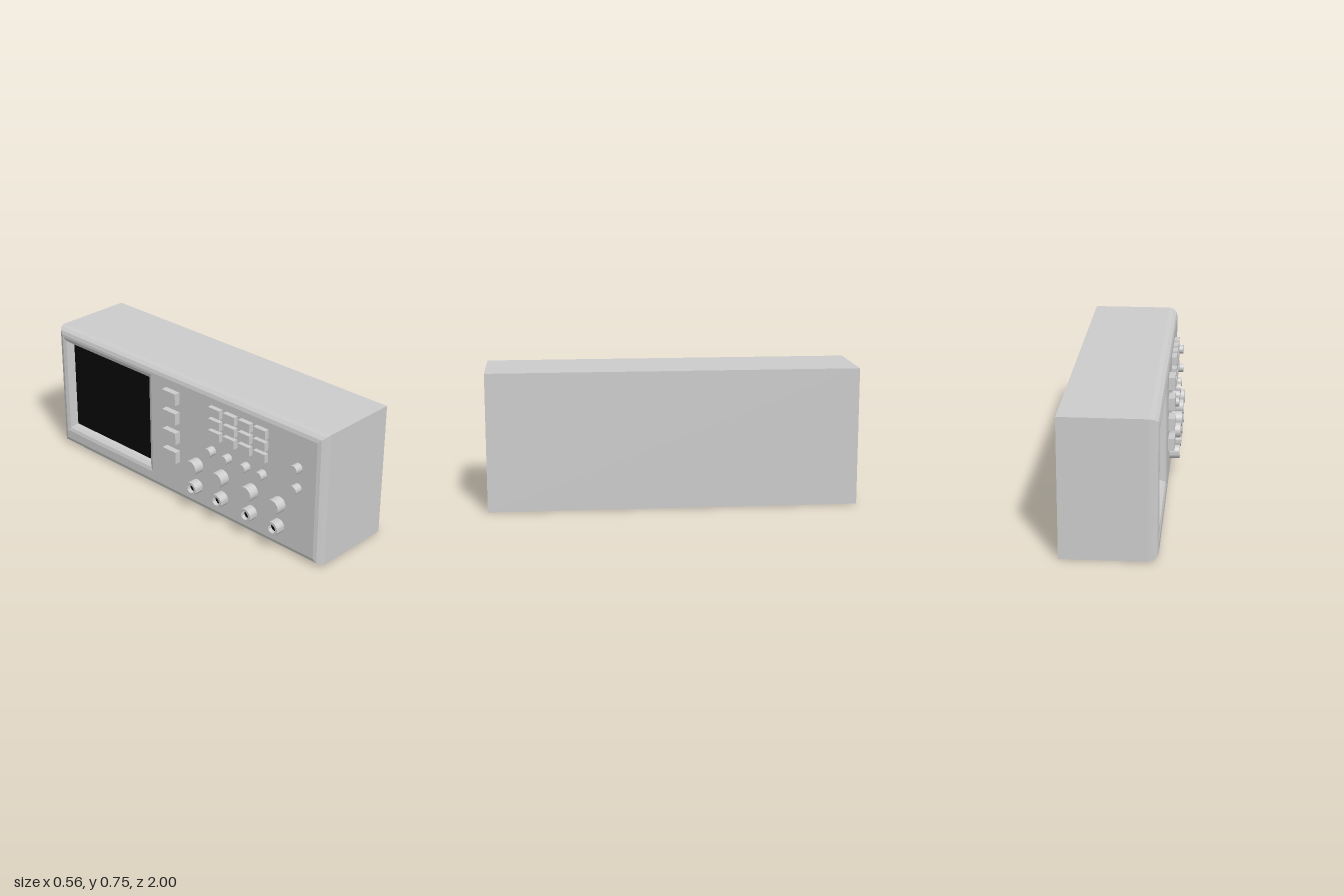
import * as THREE from 'three';
import { toCreasedNormals } from 'three/addons/utils/BufferGeometryUtils.js';

const grey = new THREE.MeshStandardMaterial({ color: 0xcccccc });
const black = new THREE.MeshStandardMaterial({ color: 0x080808 });

const FACE = -0.22; // control panel plane, facing -x
const BEVEL = 0.05; // depth of the rounded panel edge

export function createModel() {
  const model = new THREE.Group();

  const add = (name, geometry, x, y, z, material = grey) => {
    const mesh = new THREE.Mesh(geometry, material);
    mesh.name = name;
    mesh.position.set(x, y, z);
    model.add(mesh);
    return mesh;
  };

  // Button: a block standing out of the panel
  const button = (name, y, z, out, h, w) =>
    add(name, new THREE.BoxGeometry(out, h, w), FACE - out / 2, y, z);

  // Knob: a cylinder standing out of the panel
  const knob = (name, y, z, out, r) =>
    add(name, new THREE.CylinderGeometry(r, r, out, 32).rotateZ(Math.PI / 2), FACE - out / 2, y, z);

  // Socket: a hollow cylinder with a dark bottom
  const socket = (y, z, out, r) => {
    const inner = r * 0.62;
    const floor = out - 0.025;
    const profile = [[r, 0], [r, out], [inner, out], [inner, floor]].map(p => new THREE.Vector2(...p));
    const tube = toCreasedNormals(new THREE.LatheGeometry(profile, 32), 0.6);
    add('socket', tube.rotateZ(Math.PI / 2), FACE, y, z);
    add('socketHole', new THREE.CircleGeometry(inner, 32).rotateY(-Math.PI / 2), FACE - floor, y, z, black);
  };

  // Case behind the panel
  const caseDepth = 0.28 - (FACE + BEVEL);
  add('case', new THREE.BoxGeometry(caseDepth, 0.75, 2), 0.28 - caseDepth / 2, 0.375, 0);

  // Front panel with rounded edges and a screen opening (shape x runs along z)
  const rect = (Type, x0, y0, x1, y1) => new Type(
    [[x0, y0], [x1, y0], [x1, y1], [x0, y1]].map(p => new THREE.Vector2(...p)));
  const opening = { z0: -0.915, z1: -0.26, y0: 0.13, y1: 0.655 };
  const panel = rect(THREE.Shape, -1, 0, 1, 0.75);
  panel.holes.push(rect(THREE.Path, opening.z0, opening.y0, opening.z1, opening.y1));
  const depth = 0.002;
  const panelGeometry = new THREE.ExtrudeGeometry(panel, {
    depth, bevelEnabled: true, bevelThickness: BEVEL, bevelSize: 0.04, bevelOffset: -0.04, bevelSegments: 3,
  });
  panelGeometry.translate(0, 0, -FACE - BEVEL - depth).rotateY(-Math.PI / 2);
  add('frontPanel', panelGeometry, 0, 0, 0);

  // Recessed screen
  add('screen',
    new THREE.PlaneGeometry(opening.z1 - opening.z0, opening.y1 - opening.y0).rotateY(-Math.PI / 2),
    FACE + BEVEL - 0.002, (opening.y0 + opening.y1) / 2, (opening.z0 + opening.z1) / 2, black);

  // Column of keys beside the screen
  for (let i = 0; i < 4; i++) button('screenKey', 0.626 - i * 0.118, -0.05, 0.035, 0.07, 0.1);

  // Keypad
  for (let row = 0; row < 3; row++)
    for (let col = 0; col < 4; col++)
      button('keypadKey', 0.645 - row * 0.068, 0.28 + col * 0.107, 0.028, 0.05, 0.08);

  // Small knobs: a row under the keypad and a pair near the end
  for (const z of [0.247, 0.365, 0.495, 0.61]) knob('smallKnob', 0.402, z, 0.045, 0.026);
  for (const y of [0.531, 0.414]) knob('endKnob', y, 0.845, 0.045, 0.026);

  // Large knobs, each above a socket
  for (const z of [0.135, 0.325, 0.535, 0.725]) {
    knob('largeKnob', 0.272, z, 0.06, 0.043);
    socket(0.143, z, 0.056, 0.039);
  }

  return model;
}
